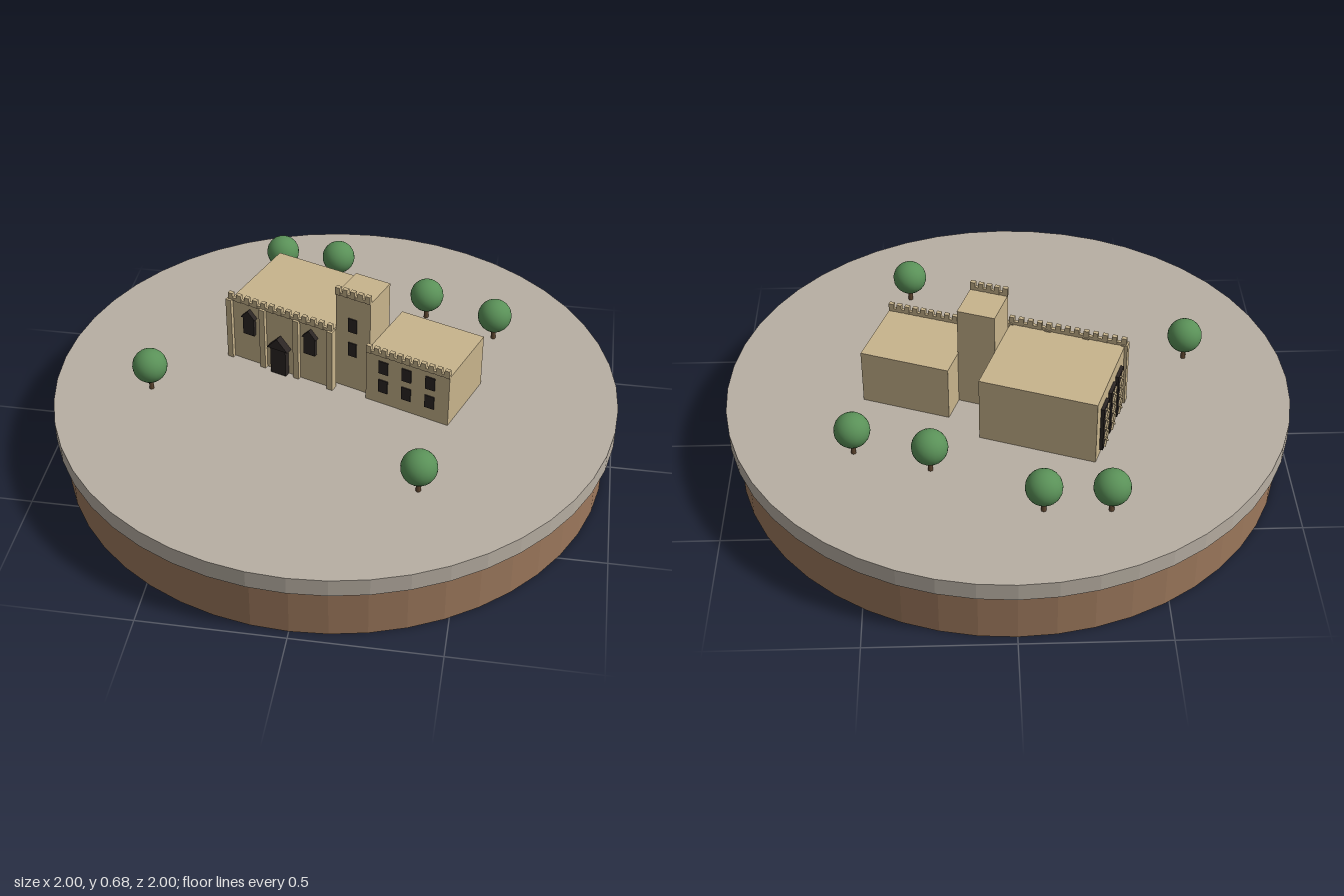
import * as THREE from 'three';

const mat = (name, color, flatShading = false) => {
  const m = new THREE.MeshStandardMaterial({ color, flatShading });
  m.name = name;
  return m;
};

export function createModel() {
  const stone = mat('sandstone', 0xc8b48c);
  const dark = mat('darkOpening', 0x2c2624);
  const paving = mat('paving', 0xb8afa3, true);
  const earth = mat('earth', 0x9c785c, true);
  const leaf = mat('foliage', 0x5a9158);
  const bark = mat('bark', 0x5e4630);

  const root = new THREE.Group();
  const GROUND = 0.265;

  const add = (parent, name, geometry, material, x, y, z) => {
    const m = new THREE.Mesh(geometry, material);
    m.name = name;
    m.position.set(x, y, z);
    parent.add(m);
    return m;
  };
  // Box given by its lower and upper limits on each axis
  const block = (parent, name, material, x0, x1, y0, y1, z0, z1) =>
    add(parent, name, new THREE.BoxGeometry(x1 - x0, y1 - y0, z1 - z0), material,
      (x0 + x1) / 2, (y0 + y1) / 2, (z0 + z1) / 2);

  // Round island
  add(root, 'earthBase', new THREE.CylinderGeometry(0.97, 0.97, 0.2, 48), earth, 0, 0.1, 0);
  add(root, 'groundSlab', new THREE.CylinderGeometry(1, 1, 0.065, 48), paving, 0, 0.2325, 0);

  // Building group, turned on the island
  const building = new THREE.Group();
  building.name = 'building';
  building.rotation.y = -0.35;
  root.add(building);

  block(building, 'hall', stone, -0.413, 0, GROUND, 0.51, -0.315, 0.033);
  block(building, 'tower', stone, 0, 0.135, GROUND, 0.65, -0.145, 0);
  block(building, 'annex', stone, 0.135, 0.455, GROUND, 0.47, -0.247, 0.027);

  // Battlements along the front edges
  const battlement = (name, x0, x1, y, z, count) => {
    const g = new THREE.Group();
    g.name = name;
    building.add(g);
    block(g, 'parapet', stone, x0, x1, y, y + 0.012, z - 0.008, z + 0.004);
    const step = (x1 - x0 - 0.018) / (count - 1);
    for (let i = 0; i < count; i++) {
      const x = x0 + i * step;
      block(g, 'merlon', stone, x, x + 0.018, y, y + 0.03, z - 0.009, z + 0.006);
    }
  };
  battlement('hallBattlement', -0.418, 0.004, 0.51, 0.033, 13);
  battlement('towerBattlement', 0, 0.135, 0.65, 0, 5);
  battlement('annexBattlement', 0.137, 0.455, 0.47, 0.027, 11);

  // Buttresses on the hall front
  for (let i = 0; i < 4; i++) {
    const x = -0.413 + i * 0.1377;
    block(building, 'buttress', stone, x - 0.011, x + 0.011, GROUND, 0.515, 0.02, 0.048);
  }

  // Openings with a pointed, slightly wider head
  const pointedOpening = (name, x, y0, y1, y2, w, head, depth) => {
    const g = new THREE.Group();
    g.name = name;
    building.add(g);
    block(g, 'panel', dark, x - w / 2, x + w / 2, y0, y1, 0.025, 0.033 + depth * 0.8);
    const s = new THREE.Shape();
    s.moveTo(-head / 2, y1);
    s.lineTo(head / 2, y1);
    s.lineTo(0, y2);
    s.closePath();
    add(g, 'pointedHead', new THREE.ExtrudeGeometry(s, { depth: depth + 0.005, bevelEnabled: false }),
      dark, x, 0, 0.028);
  };
  pointedOpening('door', -0.2065, GROUND, 0.375, 0.42, 0.062, 0.085, 0.028);
  for (const side of [-1, 1])
    pointedOpening('hallWindow', -0.2065 + side * 0.125, 0.39, 0.462, 0.493, 0.045, 0.058, 0.018);

  // Tower and annex windows
  for (const y of [0.435, 0.537])
    block(building, 'towerWindow', dark, 0.05, 0.083, y - 0.028, y + 0.028, -0.004, 0.004);
  for (const x of [0.203, 0.293, 0.383])
    for (const y of [0.342, 0.422])
      block(building, 'annexWindow', dark, x - 0.018, x + 0.018, y - 0.026, y + 0.026, 0.023, 0.031);

  // Tall side windows with crossed tracery
  for (const z of [-0.238, -0.146, -0.054]) {
    const g = new THREE.Group();
    g.name = 'traceryWindow';
    building.add(g);
    block(g, 'panel', dark, -0.425, -0.41, 0.285, 0.46, z - 0.033, z + 0.033);
    for (let row = 0; row < 4; row++)
      for (const tilt of [-1, 1]) {
        const bar = add(g, 'traceryBar', new THREE.BoxGeometry(0.008, 0.052, 0.007), stone,
          -0.427, 0.309 + row * 0.042, z);
        bar.rotation.x = tilt * 0.75;
      }
  }

  // Trees
  const crown = new THREE.SphereGeometry(0.062, 20, 14);
  const trunk = new THREE.CylinderGeometry(0.007, 0.009, 0.06, 8);
  const spots = [[-0.643, 0.132], [-0.314, -0.672], [-0.094, -0.666],
    [0.274, -0.457], [0.535, -0.362], [0.357, 0.533]];
  for (const [x, z] of spots) {
    const tree = new THREE.Group();
    tree.name = 'tree';
    tree.position.set(x, GROUND, z);
    root.add(tree);
    add(tree, 'trunk', trunk, bark, 0, 0.03, 0);
    add(tree, 'crown', crown, leaf, 0, 0.1, 0);
  }

  return root;
}
